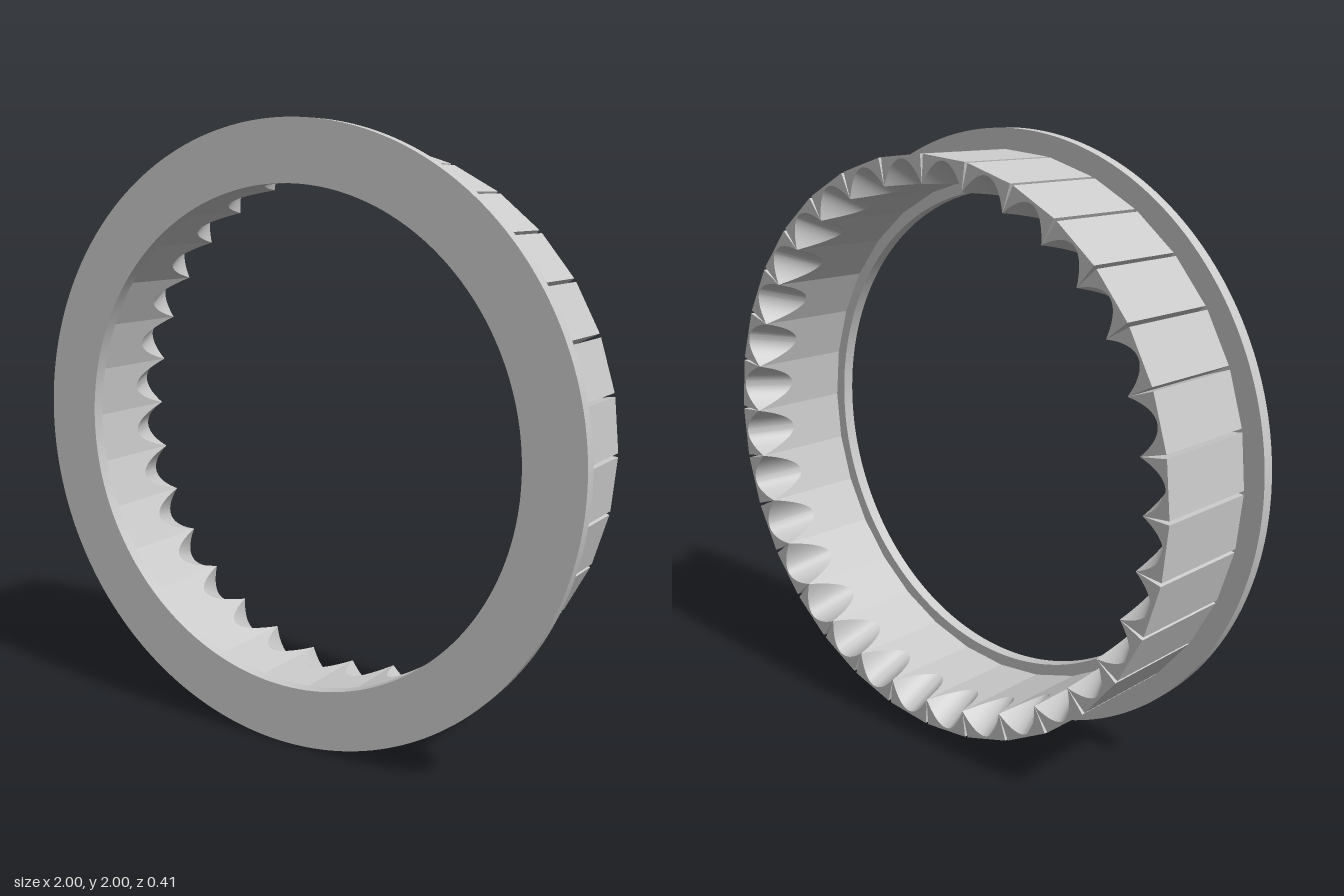
import * as THREE from 'three';
import { toCreasedNormals } from 'three/addons/utils/BufferGeometryUtils.js';

const COUNT = 32;
const STEP = (Math.PI * 2) / COUNT;
const FRONT = 0.205, FLANGE_BACK = 0.165, BACK = -0.205;

// One finger: a thick flat block whose back end is scooped out, leaving a spike at each edge
function fingerGeometry() {
  const outerY = 0.935 * Math.cos(STEP / 2);
  const innerY = 0.842;
  const thick = outerY - innerY;
  const scoopZ = -0.055, rim = 0.1, gap = 0.012, n = 20;
  // The slit between fingers is a V that closes at the inner face
  const halfWidth = (y) => y * Math.tan(STEP / 2) - (gap / 2) * ((y - innerY) / thick);

  // Each row gives outer z, inner z and inner height across the finger
  const rows = [
    () => [FLANGE_BACK, FLANGE_BACK, innerY],
    (u) => [BACK, scoopZ + (BACK - scoopZ) * u * u, innerY],
    (u) => [BACK, BACK, outerY - thick * (rim + (1 - rim) * u * u)],
  ];
  const pos = [], index = [];
  for (const row of rows) {
    for (let i = 0; i <= n; i++) {
      const u = 1 - (2 * i) / n;
      pos.push(u * halfWidth(outerY), outerY, row(u)[0]);
    }
    for (let i = n; i >= 0; i--) {
      const u = 1 - (2 * i) / n;
      const [, z, y] = row(u);
      pos.push(u * halfWidth(y), y, z);
    }
  }
  const ring = 2 * (n + 1);
  for (let j = 0; j < rows.length - 1; j++) {
    for (let i = 0; i < ring; i++) {
      const k = (i + 1) % ring;
      const a = j * ring + i, b = j * ring + k;
      const d = a + ring, c = b + ring;
      index.push(a, d, b, b, d, c);
    }
  }
  // End caps
  const last = (rows.length - 1) * ring;
  for (let i = 0; i < n; i++) {
    const a = i, b = i + 1, c = ring - 2 - i, d = ring - 1 - i;
    index.push(a, b, c, a, c, d);
    index.push(last + a, last + c, last + b, last + a, last + d, last + c);
  }
  const geo = new THREE.BufferGeometry();
  geo.setAttribute('position', new THREE.Float32BufferAttribute(pos, 3));
  geo.setIndex(index);
  return toCreasedNormals(geo, Math.PI / 10);
}

export function createModel() {
  const model = new THREE.Group();
  model.name = 'clipRing';
  const grey = new THREE.MeshStandardMaterial({ color: 0xcacaca });
  grey.name = 'lightGrey';

  // Flat front flange
  const shape = new THREE.Shape().absarc(0, 0, 1, 0, Math.PI * 2, false);
  shape.holes.push(new THREE.Path().absarc(0, 0, 0.805, 0, Math.PI * 2, true));
  const flangeGeo = new THREE.ExtrudeGeometry(shape, {
    depth: FRONT - FLANGE_BACK, bevelEnabled: false, curveSegments: 128,
  });
  const flange = new THREE.Mesh(toCreasedNormals(flangeGeo, Math.PI / 6), grey);
  flange.name = 'flange';
  flange.position.set(0, 1, FLANGE_BACK);
  model.add(flange);

  // Ring of scooped fingers separated by narrow slits
  const fingers = new THREE.Group();
  fingers.name = 'fingers';
  fingers.position.y = 1;
  const geo = fingerGeometry();
  for (let k = 0; k < COUNT; k++) {
    const finger = new THREE.Mesh(geo, grey);
    finger.name = 'finger';
    finger.rotation.z = (k + 0.5) * STEP;
    fingers.add(finger);
  }
  model.add(fingers);
  return model;
}
